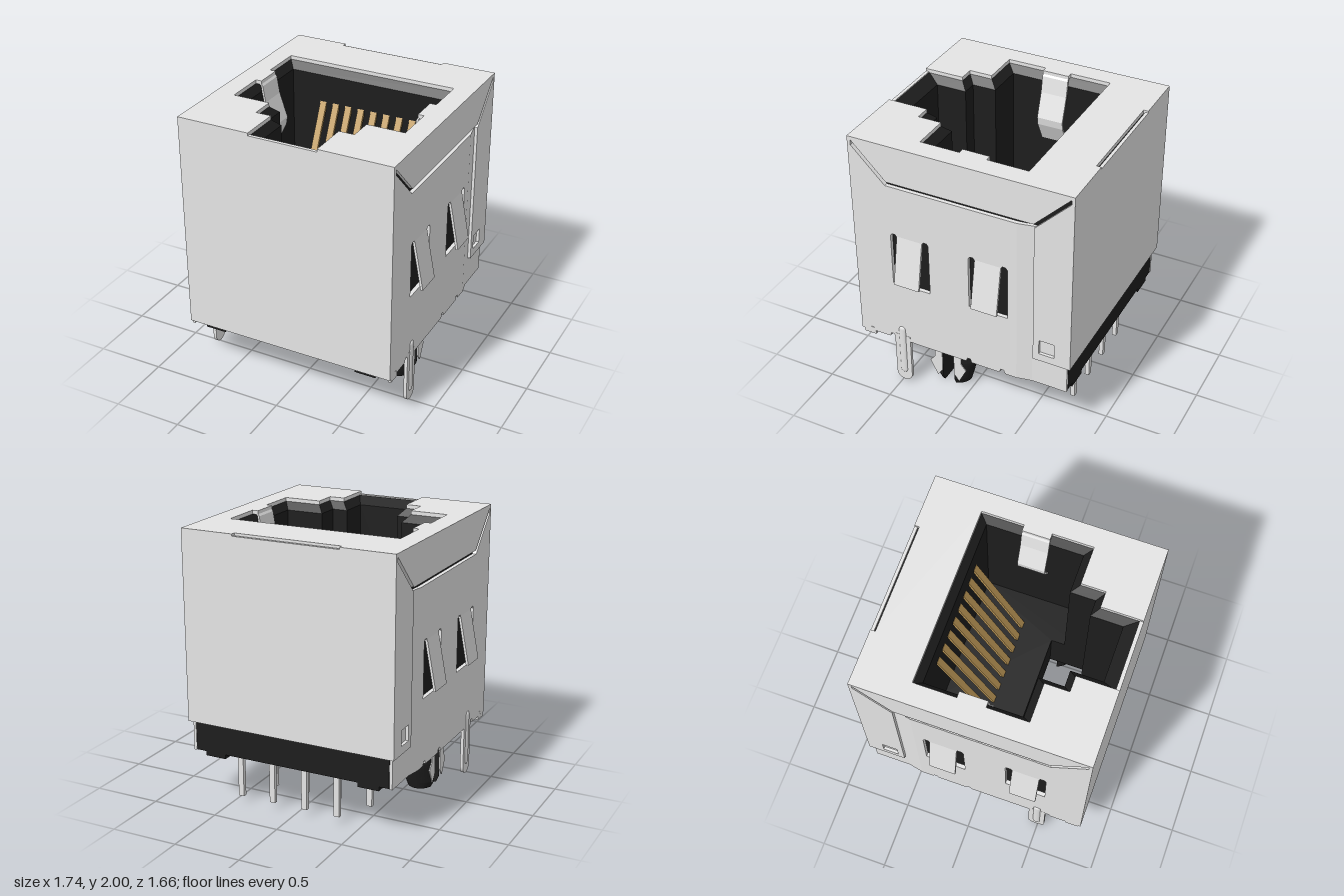
import * as THREE from 'three';

const mat = (name, color, side = THREE.FrontSide) => {
  const m = new THREE.MeshStandardMaterial({ color, side });
  m.name = name;
  return m;
};

const polygon = (pts) => new THREE.Shape(pts.map(([a, b]) => new THREE.Vector2(a, b)));
const rect = (a0, a1, b0, b1) => polygon([[a0, b0], [a1, b0], [a1, b1], [a0, b1]]);
// Right half of a symmetric outline, completed by its mirror image
const mirrored = (half) => [...half, ...half.map(([x, z]) => [-x, z]).reverse()];

export function createModel() {
  const root = new THREE.Group();
  const metal = mat('shield metal', 0xe5e5e5, THREE.DoubleSide);
  const black = mat('black plastic', 0x1d1d1d, THREE.DoubleSide);
  const gold = mat('gold contact', 0xc09a58);

  const add = (name, geo, material) => {
    const mesh = new THREE.Mesh(geo, material);
    mesh.name = name;
    root.add(mesh);
    return mesh;
  };
  const box = (name, material, w, h, d, x, y, z) => {
    const mesh = add(name, new THREE.BoxGeometry(w, h, d), material);
    mesh.position.set(x, y, z);
    return mesh;
  };
  // Horizontal slab from an (x, z) shape, between two heights
  const slab = (name, material, shape, y0, y1) => {
    const g = new THREE.ExtrudeGeometry(shape, { depth: y1 - y0, bevelEnabled: false, curveSegments: 8 });
    return add(name, g.rotateX(Math.PI / 2).translate(0, y1, 0), material);
  };
  // Side sheet from a (z, y) shape; outer face at x = s * outer
  const sheet = (name, material, shape, s, outer, t) => {
    const g = new THREE.ExtrudeGeometry(shape, { depth: t, bevelEnabled: false, curveSegments: 10 });
    return add(name, g.rotateY(-Math.PI / 2).translate(s > 0 ? outer : t - outer, 0, 0), material);
  };

  // Socket outlines: shield opening, inner cavity and the slot through the base
  const opening = mirrored([[0.65, -0.445], [0.65, 0.355], [0.37, 0.355], [0.37, 0.53], [0.255, 0.53], [0.255, 0.8]]);
  const cavity = mirrored([[0.605, -0.395], [0.605, 0.3], [0.32, 0.3], [0.32, 0.48], [0.205, 0.48], [0.205, 0.71]]);
  const through = mirrored([[0.32, 0.2], [0.32, 0.48], [0.205, 0.48], [0.205, 0.71]]);
  const withHole = (shape, pts) => {
    shape.holes.push(polygon(pts));
    return shape;
  };

  // Plastic housing
  const outer = (back = -0.805) => rect(-0.755, 0.755, back, 0.805);
  slab('housingTop', black, withHole(outer(-0.814), opening), 1.92, 1.972);
  slab('housingWalls', black, withHole(outer(), cavity), 0.95, 1.92);
  slab('housingFloor', black, withHole(outer(), through), 0.56, 0.95);
  slab('housingSkirt', black, withHole(outer(), mirrored([[0.7, -0.74], [0.7, 0.75]])), 0.38, 0.56);
  box('pinBlock', black, 1.4, 0.08, 0.44, 0, 0.52, -0.52);

  // Sloping lip from the shield opening to the cavity
  const pos = [], idx = [], n = opening.length;
  opening.forEach(([x, z], i) => pos.push(x, 1.972, z, cavity[i][0], 1.92, cavity[i][1]));
  for (let i = 0; i < n; i++) {
    const a = 2 * i, b = 2 * ((i + 1) % n);
    idx.push(a, a + 1, b, b, a + 1, b + 1);
  }
  const lip = new THREE.BufferGeometry();
  lip.setAttribute('position', new THREE.Float32BufferAttribute(pos, 3));
  lip.setIndex(idx);
  const flatLip = lip.toNonIndexed();
  flatLip.computeVertexNormals();
  add('socketLip', flatLip, black);

  // Shield top, with side notches for the springs and a slot at the back
  slab('shieldTop', metal, polygon(mirrored([
    [0.4, -0.8], [0.4, -0.835], [0.8, -0.835], [0.8, 0.83], [0.255, 0.83], [0.255, 0.53], [0.37, 0.53],
    [0.37, 0.355], [0.65, 0.355], [0.65, 0.06], [0.605, 0.06], [0.605, -0.14], [0.65, -0.14], [0.65, -0.445],
  ])), 1.972, 2);
  box('shieldFront', metal, 1.6, 1.605, 0.025, 0, 1.1775, 0.8175);
  box('shieldBack', metal, 1.6, 1.385, 0.023, 0, 1.2925, -0.8235);

  for (const s of [1, -1]) {
    // Side sheet with bend reliefs along its lower edge and windows for the latches
    const edge = [[0.83, 0.375], [0.83, 1.96], [0.555, 1.685], [-0.43, 1.685], [-0.43, 0.375]];
    for (const z of [-0.32, -0.055, 0.57, 0.74]) {
      edge.push([z - 0.022, 0.375], [z - 0.012, 0.405], [z + 0.012, 0.405], [z + 0.022, 0.375]);
    }
    const side = polygon(edge);
    for (const z of [0.3875, -0.215]) {
      side.holes.push(polygon([
        [z - 0.148, 0.88], [z + 0.148, 0.88], [z + 0.148, 1.285], [z + 0.135, 1.302], [z + 0.11, 1.302],
        [z + 0.098, 1.285], [z - 0.098, 1.285], [z - 0.11, 1.302], [z - 0.135, 1.302], [z - 0.148, 1.285],
      ]));
      const latch = box('sideLatch', metal, 0.018, 0.375, 0.196, s * 0.826, 1.108, z);
      latch.rotation.z = s * 0.19;
    }
    sheet('shieldSide', metal, side, s, 0.8, 0.03);
    slab('sideStep', metal, polygon([[s * 0.8, -0.43], [s * 0.778, -0.54], [s * 0.757, -0.54], [s * 0.77, -0.43]]), 0.375, 1.685);
    sheet('sideRear', metal, rect(-0.805, -0.54, 0.375, 1.685), s, 0.778, 0.02);

    // Folded flap from the top and wrapped flap from the back
    sheet('topFlap', metal, polygon([[0.825, 1.995], [0.545, 1.715], [-0.55, 1.715], [-0.83, 1.995]]), s, 0.8, 0.025);
    const wrap = polygon([[-0.555, 0.6], [-0.555, 1.685], [-0.835, 1.965], [-0.835, 0.6]]);
    wrap.holes.push(rect(-0.715, -0.6, 0.66, 0.775));
    sheet('backFlap', metal, wrap, s, 0.8, 0.022);

    // Ground pin with a raised rib
    const pin = new THREE.Shape();
    pin.moveTo(0.55, 0.42);
    pin.lineTo(0.55, 0.065);
    pin.absarc(0.487, 0.065, 0.063, 0, -Math.PI, true);
    pin.lineTo(0.424, 0.42);
    sheet('groundPin', metal, pin, s, 0.801, 0.024);
    const rib = add('groundPinRib', new THREE.CapsuleGeometry(0.028, 0.37, 4, 12), metal);
    rib.scale.x = 0.5;
    rib.position.set(s * 0.798, 0.285, 0.487);

    // Forked metal clip on the flat of the peg
    const fork = polygon([
      [0.285, 0.4], [0.285, 0.22], [0.325, 0.17], [0.265, 0.05], [0.225, 0.11], [0.225, 0.33], [0.205, 0.37], [0.178, 0.38],
      [0.15, 0.37], [0.13, 0.33], [0.13, 0.11], [0.09, 0.05], [0.03, 0.17], [0.07, 0.22], [0.07, 0.4],
    ]);
    sheet('pegClip', metal, fork, s, 0.696, 0.008);

    // Split mounting peg: two barbed half-round prongs
    for (const d of [1, -1]) {
      const seg = new THREE.Shape();
      for (let i = 0; i <= 16; i++) {
        const a = 0.3 + (Math.PI - 0.6) * i / 16;
        const x = 0.12 * Math.cos(a), z = d * 0.155 * Math.sin(a);
        i ? seg.lineTo(x, z) : seg.moveTo(x, z);
      }
      const g = new THREE.ExtrudeGeometry(seg, { depth: 0.4, steps: 16, bevelEnabled: false });
      g.rotateX(Math.PI / 2).translate(0, 0.4, 0);
      const p = g.attributes.position;
      for (let i = 0; i < p.count; i++) {
        const y = p.getY(i);
        const taper = Math.min(1, 0.8 + y * 4);
        const barb = y > 0.225 ? 1 : y > 0.17 ? 1.12 : 0.72 + y * 2.35;
        p.setX(i, p.getX(i) * taper);
        p.setZ(i, d * (0.046 + (Math.abs(p.getZ(i)) - 0.046) * barb));
      }
      g.computeVertexNormals();
      add('mountingPeg', g, black).position.set(s * 0.575, 0, 0.177);
    }
    box('pegBase', black, 0.26, 0.2, 0.34, s * 0.575, 0.485, 0.177);

    // Standoff feet, lower tab and folded lower lips
    box('frontFoot', black, 0.16, 0.06, 0.09, s * 0.6, 0.375, 0.765);
    box('rearFoot', black, 0.16, 0.06, 0.1, s * 0.6, 0.378, -0.755);
    sheet('lowerTab', metal, rect(0.715, 0.81, 0.345, 0.4), s, 0.799, 0.02);
    box('lowerLip', metal, 0.1, 0.02, 0.22, s * 0.74, 0.386, -0.19);
    box('lowerLip', metal, 0.1, 0.02, 0.13, s * 0.74, 0.386, 0.655);

    // Grounding spring bent into the socket
    const path = [[0.615, 1.99], [0.595, 1.96], [0.575, 1.84], [0.515, 1.66], [0.525, 1.6], [0.6, 1.45]];
    const strip = polygon([...path.map(([x, y]) => [s * x, y]), ...path.map(([x, y]) => [s * (x + 0.015), y]).reverse()]);
    const g = new THREE.ExtrudeGeometry(strip, { depth: 0.2, bevelEnabled: false });
    add('groundSpring', g.translate(0, 0, -0.14), metal);
  }

  // Eight sloping contacts and eight staggered solder pins
  for (let i = 0; i < 8; i++) {
    const k = i - 3.5;
    const contact = box('contact', gold, 0.05, 0.85, 0.02, 0.005 + k * 0.1025, 1.325, -0.222);
    contact.rotation.x = -Math.atan2(0.36, 0.77);
    box('solderPin', metal, 0.042, 0.57, 0.032, k * 0.1275 - 0.005, 0.335, i % 2 ? -0.715 : -0.46);
  }
  return root;
}
